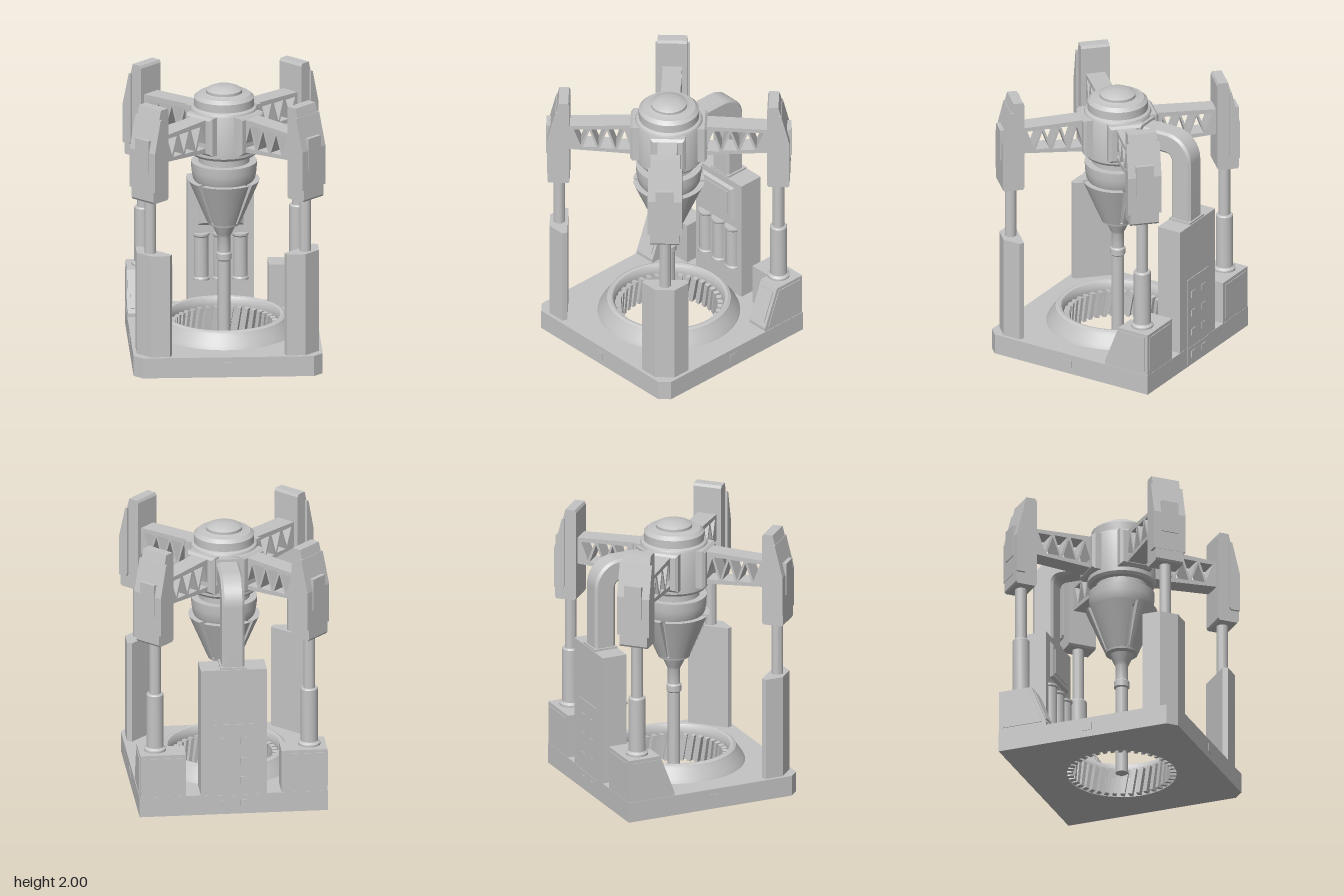
import * as THREE from 'three';
import { toCreasedNormals } from 'three/addons/utils/BufferGeometryUtils.js';

const grey = new THREE.MeshStandardMaterial({ color: 0xc4c4c4 });
grey.name = 'plain grey';

export function createModel() {
  const model = new THREE.Group();
  model.name = 'drillRig';

  const add = (name, geo, parent = model) => {
    const m = new THREE.Mesh(geo, grey);
    m.name = name;
    parent.add(m);
    return m;
  };
  const shapeOf = (pts) => new THREE.Shape(pts.map(([a, b]) => new THREE.Vector2(a, b)));
  const extrude = (shape, depth, bevel = 0) => new THREE.ExtrudeGeometry(shape, {
    depth: depth - 2 * bevel, curveSegments: 32, bevelEnabled: bevel > 0,
    bevelSize: bevel, bevelThickness: bevel, bevelOffset: -bevel, bevelSegments: 1,
  }).translate(0, 0, bevel);
  // Outline in (x, z), raised from y0 to y1
  const slab = (pts, y0, y1, bevel) =>
    extrude(shapeOf(pts.map(([x, z]) => [x, -z])), y1 - y0, bevel).rotateX(-Math.PI / 2).translate(0, y0, 0);
  // Outline in (z, y), running from x0 to x1
  const side = (pts, x0, x1, bevel) =>
    extrude(shapeOf(pts.map(([z, y]) => [-z, y])), x1 - x0, bevel).rotateY(Math.PI / 2).translate(x0, 0, 0);
  // Outline in (x, y), centred across z
  const across = (shape, width, bevel) => extrude(shape, width, bevel).translate(0, 0, -width / 2);
  const box = (x0, x1, y0, y1, z0, z1) =>
    new THREE.BoxGeometry(x1 - x0, y1 - y0, z1 - z0).translate((x0 + x1) / 2, (y0 + y1) / 2, (z0 + z1) / 2);
  // Profile in (r, y), listed from bottom to top on the outside
  const turned = (pts, x = 0, z = 0, segs = 48) =>
    toCreasedNormals(new THREE.LatheGeometry(pts.map(([r, y]) => new THREE.Vector2(r, y)), segs), 0.5).translate(x, 0, z);

  // Base plate with chamfered front corners and a round well
  const plate = shapeOf([[-0.68, 0.68], [-0.68, -0.615], [-0.615, -0.68], [0.615, -0.68], [0.68, -0.615], [0.68, 0.68]]);
  plate.holes.push(new THREE.Path().absarc(0, 0, 0.395, 0, Math.PI * 2, true));
  add('basePlate', extrude(plate, 0.15).rotateX(-Math.PI / 2));
  add('wellRing', turned([[0.512, 0.15], [0.5, 0.175], [0.455, 0.24], [0.445, 0.26], [0.425, 0.27],
    [0.405, 0.265], [0.39, 0.24], [0.388, 0.2], [0.395, 0.15], [0.395, 0]], 0, 0, 64));
  // Slanted teeth inside the well
  for (let i = 0; i < 40; i++) {
    const tooth = new THREE.Group();
    tooth.name = 'wellTooth';
    tooth.rotation.y = (i / 40) * Math.PI * 2;
    const t = add('tooth', new THREE.BoxGeometry(0.05, 0.2, 0.03), tooth);
    t.position.set(0.374, 0.105, 0);
    t.rotation.x = 0.16;
    model.add(tooth);
  }
  // Small plates on the base edge
  for (let i = 0; i < 4; i++) {
    if (i === 2) continue;
    add('edgePlate', box(-0.035, 0.035, 0.05, 0.11, 0.677, 0.684).rotateY(i * Math.PI / 2));
  }

  // Drill body
  add('drillHub', turned([[0.185, 1.42], [0.185, 1.48], [0.23, 1.48], [0.245, 1.5], [0.245, 1.81], [0.235, 1.83],
    [0.217, 1.84], [0.217, 1.9], [0.19, 1.925], [0.14, 1.93], [0.13, 1.935], [0.13, 1.955], [0.115, 1.965], [0.07, 1.983], [0, 1.985]]));
  add('drillBell', turned([[0.11, 0.96], [0.185, 1.25], [0.205, 1.26], [0.225, 1.3], [0.235, 1.36], [0.237, 1.42], [0.18, 1.42]]));
  add('drillShaft', turned([[0, 0.005], [0.045, 0.005], [0.045, 0.67], [0.055, 0.68], [0.055, 0.725], [0.045, 0.735],
    [0.045, 0.85], [0.055, 0.87], [0.085, 0.935], [0.115, 0.945], [0.12, 0.965], [0.1, 0.98]]));

  // Four tapering shell panels round the drill
  for (let i = 0; i < 4; i++) {
    const a = Math.PI / 4 - 0.07, arc = new THREE.Shape();
    arc.absarc(0, 0, 0.257, -a, a, false);
    arc.absarc(0, 0, 0.205, a, -a, true);
    const geo = new THREE.ExtrudeGeometry(arc, { depth: 0.32, bevelEnabled: false, curveSegments: 16 })
      .rotateX(-Math.PI / 2).translate(0, 0.96, 0);
    const p = geo.attributes.position;
    for (let k = 0; k < p.count; k++) {
      const s = 0.47 + 0.53 * (p.getY(k) - 0.96) / 0.32;
      p.setX(k, p.getX(k) * s);
      p.setZ(k, p.getZ(k) * s);
    }
    add('drillShellPanel', toCreasedNormals(geo, 0.5).rotateY(i * Math.PI / 2));
  }

  // Truss outline with alternating triangular openings
  const trussShape = () => {
    const s = shapeOf([[0.24, 1.55], [0.74, 1.585], [0.74, 1.78], [0.24, 1.8]]);
    const n = 6, x0 = 0.285, step = 0.063;
    for (let i = 0; i < n; i++) {
      const lo = 1.587 + i * 0.004, hi = 1.763 - i * 0.002, c = x0 + step * (i + 0.5), w = 0.05;
      const tri = i % 2
        ? [[c - w, hi], [c + w, hi], [c, lo + 0.012]]
        : [[c - w, lo], [c, hi - 0.012], [c + w, lo]];
      s.holes.push(new THREE.Path(tri.map(([a, b]) => new THREE.Vector2(a, b))));
    }
    return s;
  };

  // Corner assemblies: local +x points outwards along the diagonal
  for (const sx of [-1, 1]) for (const sz of [-1, 1]) {
    const arm = new THREE.Group();
    arm.name = sz > 0 ? 'frontArm' : 'backArm';
    arm.rotation.y = -Math.atan2(sz, sx);
    model.add(arm);
    add('hubMount', extrude(shapeOf([[-0.125, 1.53], [0.125, 1.53], [0.125, 1.815], [-0.125, 1.815]]), 0.12, 0.018)
      .rotateY(Math.PI / 2).translate(0.157, 0, 0), arm);
    add('truss', across(trussShape(), 0.14), arm);
    add('housing', across(shapeOf([[0.72, 1.31], [0.86, 1.31], [0.87, 1.325], [0.87, 1.69], [0.79, 2.0], [0.72, 2.0], [0.71, 1.98], [0.71, 1.325]]), 0.212), arm);
    add('housingRim', across(shapeOf([[0.805, 1.4], [0.872, 1.4], [0.872, 1.69], [0.812, 1.93], [0.795, 1.93], [0.795, 1.42]]), 0.246), arm);
    add('housingBadge', box(0.78, 0.88, 1.54, 1.78, -0.065, 0.065), arm);

    // Piston rod
    const px = sx * 0.557, pz = sz * 0.557;
    add('pistonRod', turned([[0.042, 0.45], [0.042, 1.32]], px, pz, 32));

    if (sz > 0) {
      // Faceted front column
      const half = [[0.42, 0.655], [0.555, 0.655], [0.655, 0.555], [0.655, 0.42], [0.62, 0.405], [0.405, 0.62]];
      add('frontColumn', slab(half.map(([x, z]) => [x * sx, z]), 0.15, 0.91));
    } else {
      // Round sleeve on a sloped rear pedestal
      add('backSleeve', turned([[0.08, 0.46], [0.08, 0.485], [0.062, 0.5], [0.062, 0.9], [0.055, 0.91], [0.04, 0.91]], px, pz, 32));
      const span = (a, b) => (sx > 0 ? [a, b] : [-b, -a]);
      add('pedestalBlock', box(...span(0.345, 0.676), 0.15, 0.47, -0.678, -0.5));
      const slope = [[-0.315, 0.15], [-0.315, 0.175], [-0.43, 0.47], [-0.678, 0.47], [-0.678, 0.15]];
      add('pedestalConsole', side(slope, ...span(0.51, 0.676)));
      add('pedestalSidePlate', side([[-0.345, 0.18], [-0.445, 0.445], [-0.655, 0.445], [-0.655, 0.18]], ...span(0.674, 0.681)));
      add('pedestalBackPlate', box(...span(0.375, 0.65), 0.18, 0.445, -0.683, -0.675));
      const screen = add('consoleScreen', new THREE.BoxGeometry(0.12, 0.24, 0.014));
      screen.position.set(sx * 0.593, 0.322, -0.372);
      screen.rotation.x = -0.372;
    }
  }

  // Rear cabinet
  add('cabinet', slab([[-0.238, -0.49], [0.238, -0.49], [0.238, -0.678], [-0.238, -0.678]], 0.15, 1.11));
  add('cabinetFrame', extrude(shapeOf([[-0.165, 0.78], [0.165, 0.78], [0.165, 1.06], [-0.165, 1.06]]), 0.04, 0.018).translate(0, 0, -0.51));
  add('cabinetScreen', box(-0.12, 0.12, 0.825, 1.015, -0.475, -0.464));
  // Gas bottles on the cabinet front
  for (const x of [-0.14, 0, 0.14]) {
    add('bottle', turned([[0, 0.37], [0.06, 0.37], [0.06, 0.385], [0.053, 0.395], [0.053, 0.695], [0.06, 0.705], [0.06, 0.72], [0, 0.72]], x, -0.5, 24));
  }
  // Service panel on the back
  add('servicePanel', box(-0.145, 0.145, 0.15, 0.69, -0.683, -0.675));
  add('servicePanelFoot', box(-0.145, 0.145, 0.02, 0.143, -0.683, -0.675));
  for (const x of [-0.07, 0.07]) for (const y of [0.085, 0.26, 0.41, 0.56]) {
    add('serviceButton', box(x - 0.025, x + 0.025, y - 0.025, y + 0.025, -0.688, -0.68));
  }

  // Square duct from the cabinet up to the hub
  const duct = new THREE.Shape();
  duct.moveTo(0.2, 1.78);
  duct.lineTo(0.2, 1.62);
  duct.lineTo(0.45, 1.62);
  duct.absarc(0.45, 1.57, 0.05, Math.PI / 2, 0, true);
  duct.lineTo(0.5, 1.1);
  duct.lineTo(0.66, 1.1);
  duct.lineTo(0.66, 1.58);
  duct.absarc(0.46, 1.58, 0.2, 0, Math.PI / 2, false);
  add('duct', toCreasedNormals(extrude(duct, 0.164, 0.018).rotateY(Math.PI / 2).translate(-0.082, 0, 0), 0.4));
  add('ductCollar', box(-0.092, 0.092, 1.6, 1.8, -0.262, -0.2));
  add('ductFoot', box(-0.095, 0.095, 1.1, 1.125, -0.672, -0.495));

  return model;
}
